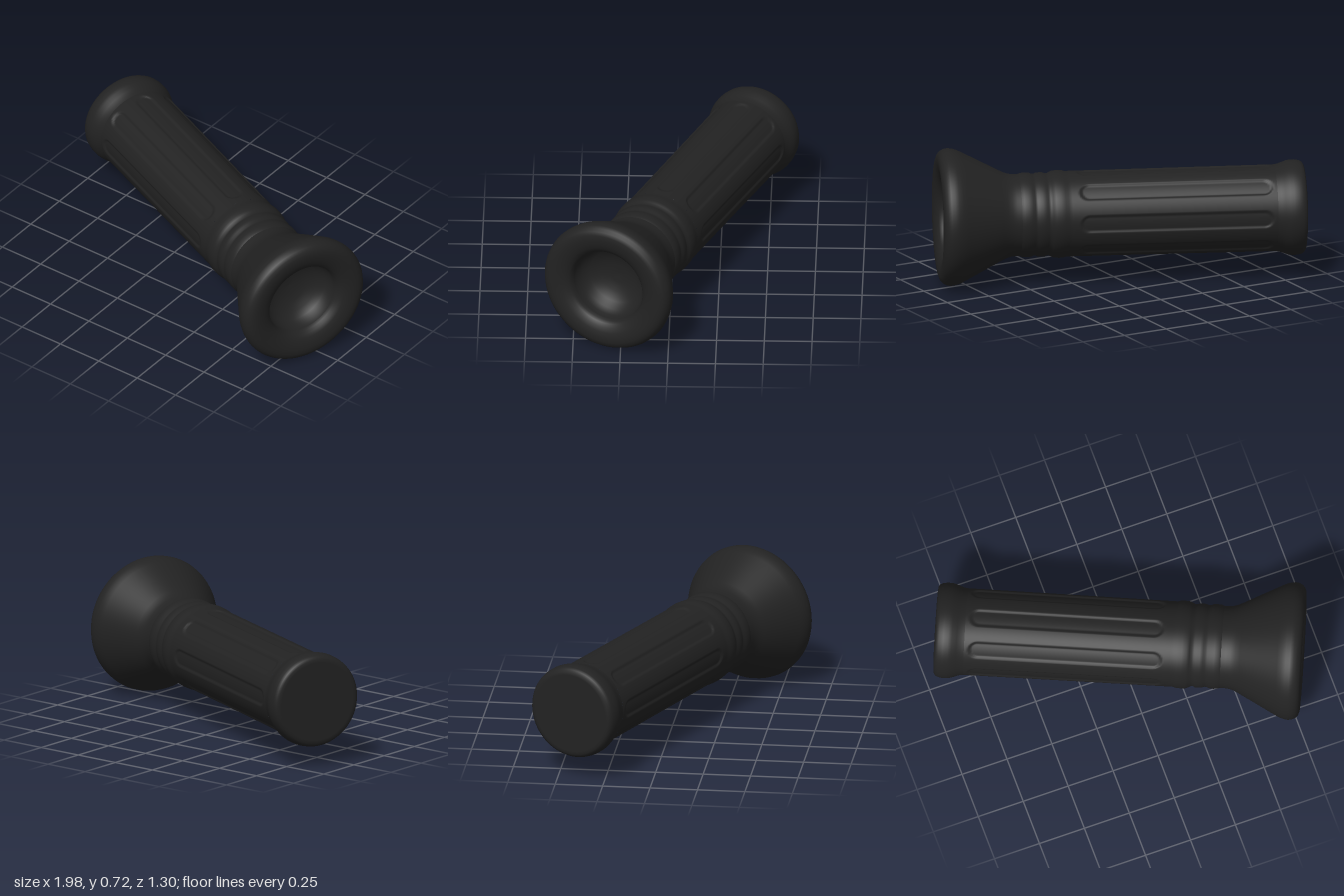
import * as THREE from 'three';
import { mergeVertices } from 'three/addons/utils/BufferGeometryUtils.js';

const SEGMENTS = 96;
const SLOTS = 8;

// Profiles are [radius, distance along the axis], running tail to front
const tailProfile = [
  [0, -0.997], [0.21, -0.997], [0.226, -0.995], [0.238, -0.988], [0.246, -0.973], [0.25, -0.95],
  [0.25, -0.925], [0.246, -0.905], [0.237, -0.88], [0.23, -0.86], [0.227, -0.84],
];
const collarProfile = [
  [0.224, 0.24], [0.224, 0.26], [0.229, 0.275], [0.23, 0.3], [0.228, 0.325], [0.222, 0.34],
  [0.215, 0.352], [0.215, 0.364], [0.22, 0.374], [0.221, 0.395], [0.219, 0.412], [0.214, 0.422],
  [0.214, 0.434], [0.22, 0.446], [0.222, 0.47], [0.22, 0.492], [0.215, 0.505],
];
const headProfile = [
  [0.215, 0.505], [0.215, 0.53], [0.218, 0.555], [0.226, 0.58], [0.238, 0.605], [0.29, 0.705],
  [0.34, 0.802], [0.351, 0.825], [0.358, 0.848], [0.361, 0.87], [0.358, 0.89], [0.349, 0.908],
  [0.335, 0.921], [0.315, 0.928], [0.29, 0.929], [0.26, 0.924], [0.235, 0.915], [0.215, 0.903],
  [0.204, 0.888], [0.2, 0.87],
];
const bowlProfile = [
  [0.2, 0.87], [0.196, 0.84], [0.18, 0.805], [0.15, 0.775], [0.1, 0.75], [0.05, 0.74], [0, 0.737],
];

function turned(name, profile, material) {
  const points = profile.map(([r, t]) => new THREE.Vector2(r, t));
  const mesh = new THREE.Mesh(new THREE.LatheGeometry(points, SEGMENTS), material);
  mesh.name = name;
  return mesh;
}

// Tube with shallow round-ended slots pressed into it
function slottedGrip(material) {
  const start = -0.84, end = 0.24, rows = 120;
  const points = [];
  for (let i = 0; i <= rows; i++) {
    const k = i / rows;
    points.push(new THREE.Vector2(THREE.MathUtils.lerp(0.227, 0.224, k), THREE.MathUtils.lerp(start, end, k)));
  }
  const lathe = new THREE.LatheGeometry(points, 256);
  lathe.deleteAttribute('uv');
  lathe.deleteAttribute('normal');
  const geometry = mergeVertices(lathe);
  const pos = geometry.attributes.position;
  const step = (Math.PI * 2) / SLOTS;
  const halfWidth = 0.05, slotStart = -0.82, slotEnd = 0.2;
  for (let i = 0; i < pos.count; i++) {
    const x = pos.getX(i), t = pos.getY(i), z = pos.getZ(i);
    const r = Math.hypot(x, z);
    const angle = Math.atan2(x, z);
    const across = (angle - Math.round(angle / step) * step) * r;
    const nearest = THREE.MathUtils.clamp(t, slotStart + halfWidth, slotEnd - halfWidth);
    const edge = Math.hypot(across, t - nearest) - halfWidth;
    const depth = 0.008 * (1 - THREE.MathUtils.smoothstep(edge, -0.014, 0));
    const scale = (r - depth) / r;
    pos.setXYZ(i, x * scale, t, z * scale);
  }
  geometry.computeVertexNormals();
  const mesh = new THREE.Mesh(geometry, material);
  mesh.name = 'slottedGrip';
  return mesh;
}

export function createModel() {
  const black = new THREE.MeshStandardMaterial({ color: 0x222222 });
  black.name = 'matte black';

  // Everything is turned about y, then laid on its side
  const barrel = new THREE.Group();
  barrel.name = 'flashlight';
  barrel.rotation.z = -Math.PI / 2;
  barrel.add(
    turned('tailCap', tailProfile, black),
    slottedGrip(black),
    turned('ringedCollar', collarProfile, black),
    turned('flaredHead', headProfile, black),
    turned('reflectorBowl', bowlProfile, black),
  );

  // Swing the front end toward +z
  const swing = new THREE.Group();
  swing.name = 'heading';
  swing.rotation.y = -0.41;
  swing.position.set(0.014, 0.363, -0.033);
  swing.add(barrel);

  const model = new THREE.Group();
  model.name = 'model';
  model.add(swing);
  return model;
}
